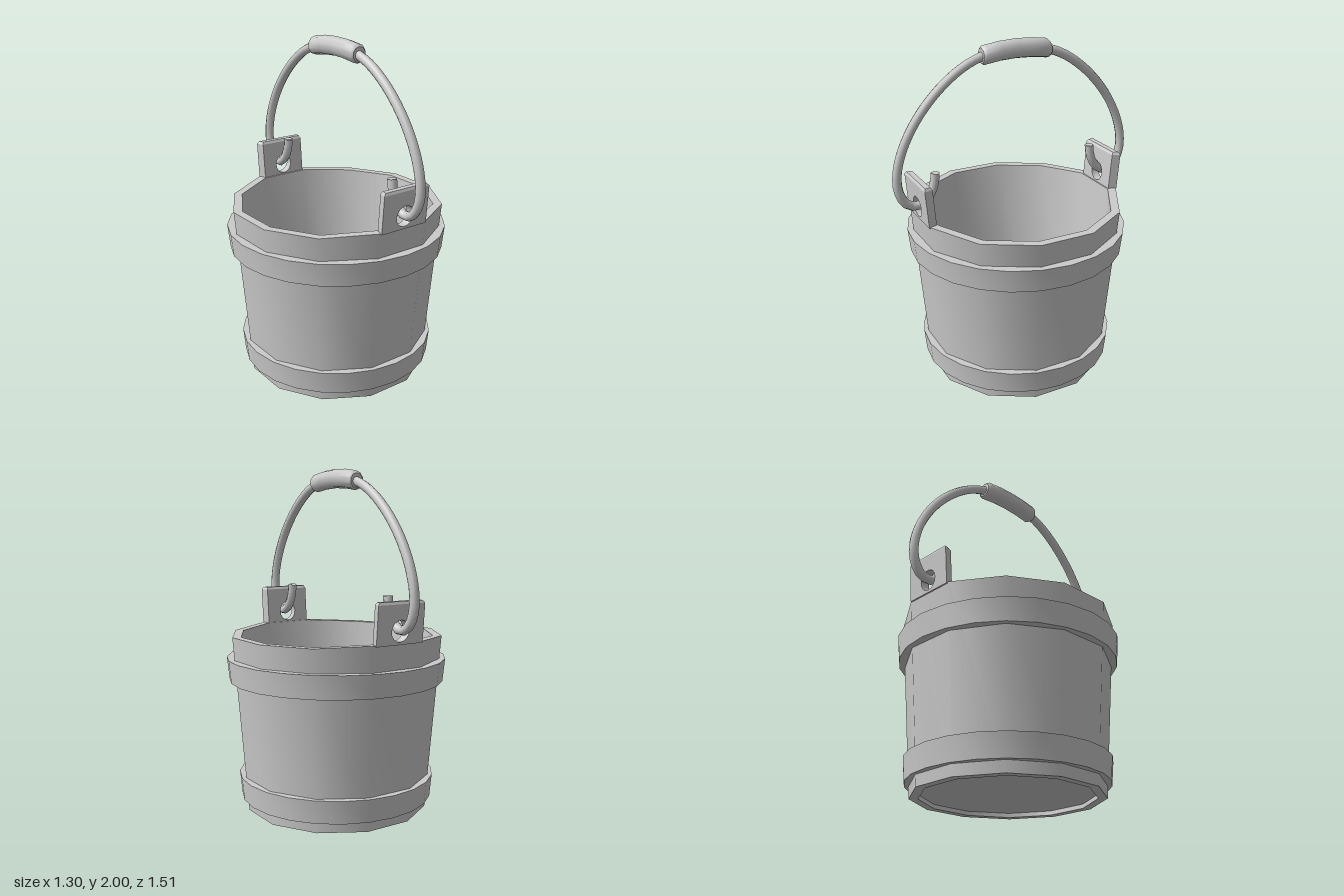
import * as THREE from 'three';
import { toCreasedNormals } from 'three/addons/utils/BufferGeometryUtils.js';

const material = new THREE.MeshStandardMaterial({ color: 0xcccccc });
const SIDES = 12;
const FACET = Math.cos(Math.PI / SIDES); // corner radius -> flat distance
const RIM = 1.05, THICK = 0.05;
const outerFlat = y => 0.525 + 0.081 * y / RIM; // slanted outer face of the staves

function mesh(name, geometry) {
  const m = new THREE.Mesh(geometry, material);
  m.name = name;
  return m;
}

// Move every vertex of a geometry by a rule
function deform(geometry, rule) {
  const p = geometry.attributes.position, v = new THREE.Vector3();
  for (let i = 0; i < p.count; i++) {
    rule(v.fromBufferAttribute(p, i));
    p.setXYZ(i, v.x, v.y, v.z);
  }
  geometry.computeVertexNormals();
  return geometry;
}

// Closed ring turned from [radius, y] corners
function ring(corners, sides, phi) {
  const pts = [...corners, corners[0]].map(([r, y]) => new THREE.Vector2(r, y));
  return new THREE.LatheGeometry(pts, sides, phi);
}

// Twelve-sided wall; the rim is a little higher at front and back
function wall() {
  const r0 = outerFlat(0) / FACET, r1 = outerFlat(RIM) / FACET, t = THICK / FACET;
  const g = ring([[r0, 0], [r1, RIM], [r1 - t, RIM], [r0 - t, 0]], SIDES, Math.PI / SIDES);
  deform(g, v => {
    if (v.y > 1) v.y = Math.abs(v.z) > Math.abs(v.x) * 2 ? 1.052 : 1.04;
  });
  return mesh('wall', toCreasedNormals(g, 0.7));
}

function hoop(name, y0, y1, r0, r1) {
  const g = ring([[r0, y0], [r1, y1], [r1 - 0.07, y1], [r0 - 0.07, y0]], 24, 0);
  return mesh(name, toCreasedNormals(g, 0.7));
}

// Raised stave with a hole for the handle
function ear() {
  const group = new THREE.Group();
  const w = 0.157, base = 1.045, top = 1.265;
  const shape = new THREE.Shape();
  shape.moveTo(-w, base);
  shape.lineTo(w, base);
  shape.lineTo(w, top);
  shape.lineTo(-w, top);
  const hole = new THREE.Path();
  hole.absarc(0, 1.12, 0.06, 0, Math.PI * 2, true);
  shape.holes.push(hole);
  // z runs 0 (inside) to THICK (outside): taper inwards and lean with the wall
  const lean = v => {
    v.x *= 0.91 + 0.09 * v.z / THICK;
    v.z += outerFlat(v.y) - THICK + 0.008;
  };
  const plate = new THREE.ExtrudeGeometry(shape, { depth: THICK, bevelEnabled: false, curveSegments: 8 });
  group.add(mesh('earPlate', toCreasedNormals(deform(plate, lean), 0.7)));
  // Chamfered top edge
  const cap = new THREE.BoxGeometry(2 * w, 0.015, THICK);
  cap.translate(0, top + 0.0075, THICK / 2);
  deform(cap, v => {
    if (v.y > top + 0.01) {
      v.x *= 0.93;
      v.z = THICK / 2 + (v.z - THICK / 2) * 0.65;
    }
    lean(v);
  });
  group.add(mesh('earTop', cap));
  return group;
}

// Bent wire with a hook at each end
function wire() {
  const half = [
    [1.30, 0.505], [1.235, 0.515], [1.165, 0.55], [1.122, 0.615], [1.145, 0.68], [1.22, 0.722],
    [1.32, 0.728], [1.46, 0.69], [1.62, 0.6], [1.77, 0.465], [1.88, 0.31], [1.93, 0.17]
  ];
  const side = s => half.map(([y, z]) => new THREE.Vector3(0, y, s * z));
  const path = new THREE.CatmullRomCurve3([...side(1), new THREE.Vector3(0, 1.945, 0), ...side(-1).reverse()]);
  const group = new THREE.Group();
  group.name = 'handleWire';
  group.add(mesh('wire', new THREE.TubeGeometry(path, 72, 0.027, 8)));
  for (const s of [1, -1]) {
    const end = mesh('wireEnd', new THREE.CircleGeometry(0.027, 8));
    end.rotation.x = -Math.PI / 2;
    end.position.set(0, 1.3, s * 0.505);
    group.add(end);
  }
  return group;
}

// Grip sleeve turned on its axis, then bent along the wire
function grip() {
  const L = 0.21, R = 0.055;
  const profile = [[0.001, -L], [0.043, -L], [R, -L + 0.015], [R, -0.1], [R, 0], [R, 0.1], [R, L - 0.015], [0.043, L], [0.001, L]];
  const g = new THREE.LatheGeometry(profile.map(p => new THREE.Vector2(...p)), 10);
  g.rotateX(Math.PI / 2);
  deform(g, v => { v.y += 1.945 - 0.45 * v.z * v.z; });
  return mesh('grip', toCreasedNormals(g, 0.75));
}

export function createModel() {
  const bucket = new THREE.Group();
  bucket.name = 'bucket';
  bucket.add(wall());

  // Floor board set slightly above the bottom edge
  const r = (outerFlat(0) - THICK + 0.01) / FACET;
  const floor = mesh('floor', new THREE.CylinderGeometry(r, r, 0.04, SIDES, 1, false, Math.PI / SIDES));
  floor.position.y = 0.045;
  bucket.add(floor);

  bucket.add(hoop('lowerHoop', 0.065, 0.2, 0.572, 0.585));
  bucket.add(hoop('upperHoop', 0.77, 0.905, 0.637, 0.651));

  for (const [name, turn] of [['frontEar', 0], ['backEar', Math.PI]]) {
    const e = ear();
    e.name = name;
    e.rotation.y = turn;
    bucket.add(e);
  }

  bucket.add(wire(), grip());
  return bucket;
}
